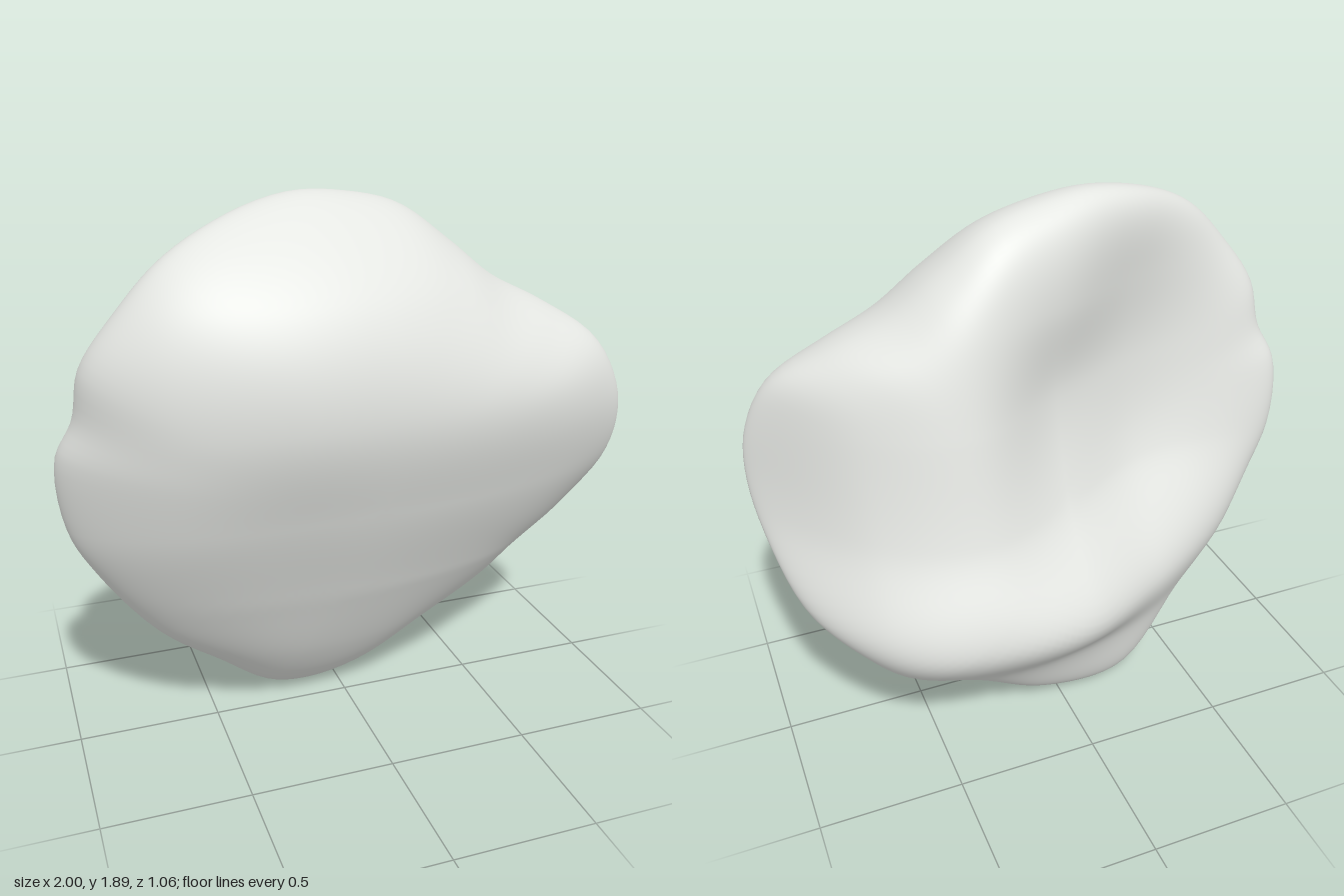
import * as THREE from 'three';
import { mergeVertices } from 'three/addons/utils/BufferGeometryUtils.js';

// Outline of the boulder, counter-clockwise as seen from the front
const outline = [
  [1, 1], [0.98, 1.18], [0.89, 1.36], [0.72, 1.48], [0.53, 1.58], [0.37, 1.71], [0.2, 1.83],
  [0, 1.88], [-0.2, 1.89], [-0.45, 1.83], [-0.65, 1.73], [-0.8, 1.58], [-0.91, 1.42],
  [-0.94, 1.25], [-1, 1.11], [-0.98, 0.85], [-0.9, 0.68], [-0.72, 0.42], [-0.5, 0.22],
  [-0.28, 0.03], [-0.13, 0], [0.1, 0.05], [0.35, 0.2], [0.63, 0.35], [0.76, 0.48],
  [0.9, 0.62], [0.97, 0.8],
];

// Depth (z) of both faces: rows are heights, columns run from x = -1 to x = 1
const heights = [0, 0.27, 0.55, 0.9, 1.25, 1.57, 1.89];
const frontDepth = [
  [-0.1, -0.06, -0.03, -0.02, -0.06, -0.12, -0.2],
  [0.03, 0.1, 0.13, 0.12, 0.07, -0.03, -0.12],
  [0.12, 0.22, 0.26, 0.26, 0.21, 0.12, 0],
  [0.2, 0.36, 0.41, 0.41, 0.37, 0.29, 0.2],
  [0.28, 0.45, 0.52, 0.51, 0.46, 0.37, 0.27],
  [0.32, 0.43, 0.47, 0.44, 0.35, 0.24, 0.2],
  [0.22, 0.28, 0.25, 0.2, 0.1, 0.02, 0],
];
const backDepth = [
  [-0.1, -0.2, -0.23, -0.25, -0.28, -0.3, -0.25],
  [0, -0.1, -0.24, -0.32, -0.35, -0.31, -0.2],
  [-0.02, -0.14, -0.32, -0.5, -0.53, -0.45, -0.2],
  [-0.02, -0.01, -0.07, -0.26, -0.4, -0.29, 0.05],
  [0.03, 0.06, 0.01, -0.14, -0.32, -0.21, 0.1],
  [0.08, 0.08, -0.01, -0.17, -0.26, -0.18, 0.02],
  [0.08, 0.06, -0.08, -0.17, -0.21, -0.18, -0.1],
];

// Smooth interpolation along a row of values
function spline(values, u) {
  const last = values.length - 1;
  const i = Math.min(Math.max(Math.floor(u), 0), last - 1);
  const t = u - i;
  const b = values[i], c = values[i + 1];
  const a = i > 0 ? values[i - 1] : 2 * b - c;
  const d = i + 2 <= last ? values[i + 2] : 2 * c - b;
  return b + 0.5 * t * (c - a + t * (2 * a - 5 * b + 4 * c - d + t * (3 * (b - c) + d - a)));
}

function depthAt(table, x, y) {
  let k = 0;
  while (k < heights.length - 2 && y > heights[k + 1]) k++;
  const v = k + THREE.MathUtils.clamp((y - heights[k]) / (heights[k + 1] - heights[k]), 0, 1);
  const u = THREE.MathUtils.clamp((x + 1) * 3, 0, 6);
  return spline(table.map((row) => spline(row, u)), v);
}

// Rings spread from the middle of the front to the rim, then close over the back
function boulderGeometry() {
  const around = 128, rings = 40, centreY = 0.95;
  const rim = new THREE.CatmullRomCurve3(
    outline.map(([x, y]) => new THREE.Vector3(x, y, 0)), true).getPoints(around);
  const positions = [], indices = [];
  for (let i = 0; i <= rings * 2; i++) {
    const isFront = i <= rings;
    const t = Math.sin((i / rings) * Math.PI / 2);
    const round = Math.sqrt(Math.max(0, 1 - Math.pow(t, isFront ? 8 : 11)));
    for (let j = 0; j < around; j++) {
      const x = rim[j].x * t;
      const y = centreY + (rim[j].y - centreY) * t;
      const front = depthAt(frontDepth, x, y);
      const back = depthAt(backDepth, x, y);
      const edge = 0.42 * front + 0.58 * back;
      positions.push(x, y, edge + ((isFront ? front : back) - edge) * round);
      if (i < rings * 2) {
        const n = (j + 1) % around;
        const a = i * around + j, b = i * around + n;
        const c = a + around, d = b + around;
        if (i < rings * 2 - 1) indices.push(a, c, d);
        else indices.push(a, c, b);
        if (i > 0 && i < rings * 2 - 1) indices.push(a, d, b);
      }
    }
  }
  const geometry = new THREE.BufferGeometry();
  geometry.setAttribute('position', new THREE.Float32BufferAttribute(positions, 3));
  geometry.setIndex(indices);
  const merged = mergeVertices(geometry, 1e-5);
  merged.computeVertexNormals();
  return merged;
}

export function createModel() {
  const group = new THREE.Group();
  group.name = 'rock';
  const stone = new THREE.MeshStandardMaterial({ color: 0xe6e8e4 });
  stone.name = 'pale stone';
  const boulder = new THREE.Mesh(boulderGeometry(), stone);
  boulder.name = 'boulder';
  group.add(boulder);
  return group;
}
